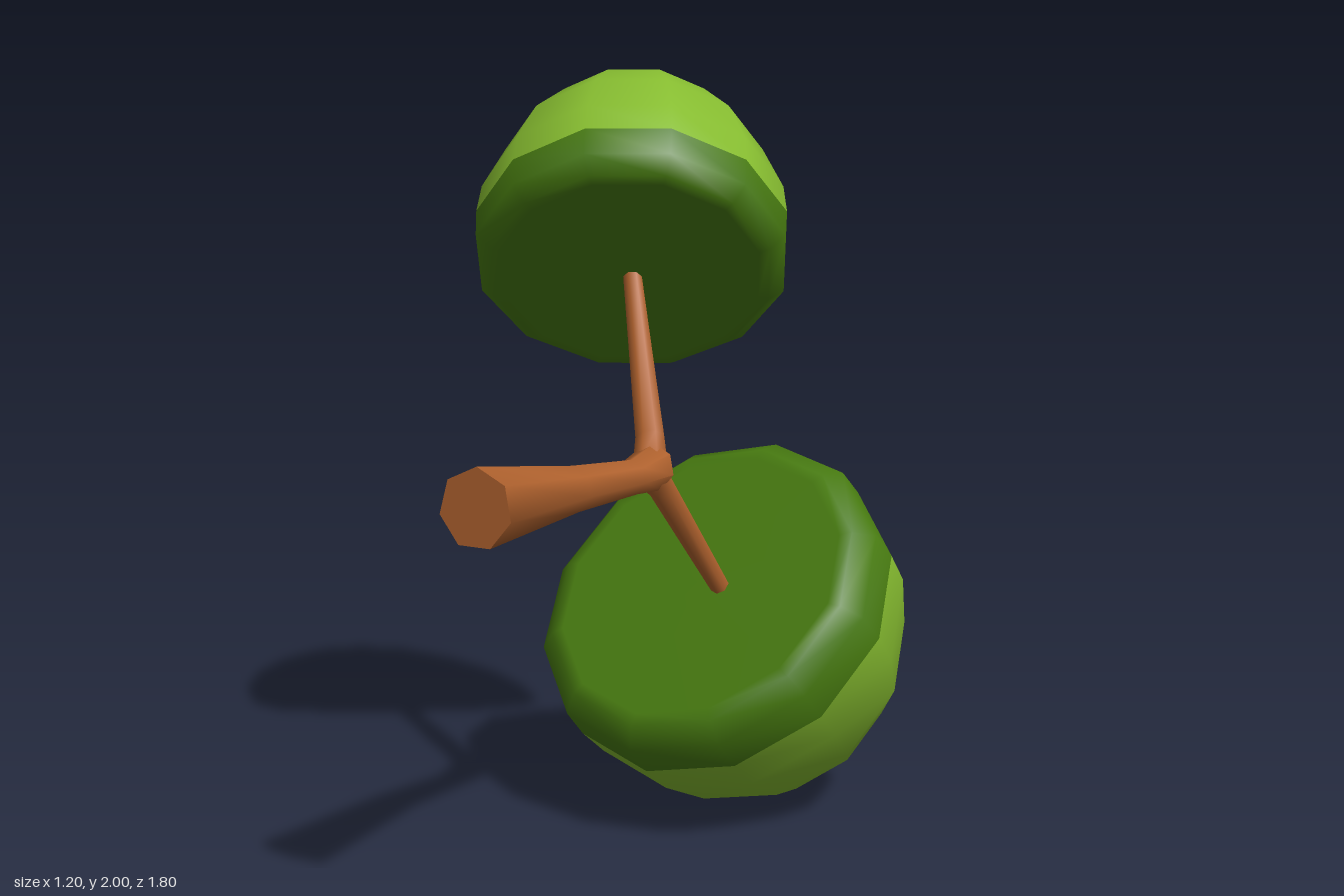
import * as THREE from 'three';
import { toCreasedNormals } from 'three/addons/utils/BufferGeometryUtils.js';

const mat = (name, color) => {
  const m = new THREE.MeshStandardMaterial({ color });
  m.name = name;
  return m;
};
const V = (x, y, z) => new THREE.Vector3(x, y, z);

// Seven-sided limb: a cylinder whose rings follow the given points and radii
function limb(name, material, points, radii) {
  const n = points.length - 1;
  const geo = new THREE.CylinderGeometry(1, 1, 1, 7, n);
  const dir = points[n].clone().sub(points[0]).normalize();
  const turn = new THREE.Quaternion().setFromUnitVectors(V(0, 1, 0), dir);
  const pos = geo.attributes.position;
  const v = V(0, 0, 0);
  for (let i = 0; i < pos.count; i++) {
    v.fromBufferAttribute(pos, i);
    const k = Math.round((v.y + 0.5) * n);
    v.setY(0).multiplyScalar(radii[k]).applyQuaternion(turn).add(points[k]);
    pos.setXYZ(i, v.x, v.y, v.z);
  }
  const mesh = new THREE.Mesh(toCreasedNormals(geo, 1.05), material);
  mesh.name = name;
  return mesh;
}

// Crown profiles as [radius, height along the crown axis]
const RIM = [[0, -0.26], [0.41, -0.26], [0.445, -0.255], [0.495, -0.21], [0.5, -0.11]];
const DOME = [[0.5, -0.11], [0.49, 0], [0.425, 0.18], [0.315, 0.34], [0.17, 0.46], [0, 0.51]];

// Twelve-sided leaf crown: pale dome over a dark rim and underside
function crown(name, center, axis, scale, phase, leaf, shade) {
  const group = new THREE.Group();
  group.name = name;
  for (const [part, profile, material] of [['Underside', RIM, shade], ['Dome', DOME, leaf]]) {
    const pts = profile.map(([r, y]) => new THREE.Vector2(r, y));
    const mesh = new THREE.Mesh(new THREE.LatheGeometry(pts, 12, phase), material);
    mesh.name = name + part;
    group.add(mesh);
  }
  const y = axis.clone().normalize();
  const z = V(0, 1, 0).addScaledVector(y, -y.y).normalize();
  const x = y.clone().cross(z);
  group.quaternion.setFromRotationMatrix(new THREE.Matrix4().makeBasis(x, y, z));
  group.position.copy(center);
  group.scale.setScalar(scale);
  return group;
}

export function createModel() {
  const bark = mat('bark brown', 0xb0622e);
  const leaf = mat('leaf green', 0x86bc30);
  const shade = mat('dark leaf green', 0x477a10);

  const tree = new THREE.Group();
  tree.name = 'tree';

  // Trunk, from its wide foot at the front to the fork
  tree.add(limb('trunk', bark,
    [V(0.055, 1.025, 0.9), V(0.035, 0.99, 0.41), V(0.068, 0.982, 0.15), V(0.07, 0.99, 0.03), V(0.075, 0.99, -0.005)],
    [0.095, 0.058, 0.045, 0.062, 0.035]));

  // Branches
  tree.add(limb('upperBranch', bark,
    [V(0.068, 1.0, 0.04), V(0.045, 1.06, -0.005), V(-0.145, 1.46, -0.285)], [0.045, 0.038, 0.025]));
  tree.add(limb('lowerBranch', bark,
    [V(0.07, 0.98, 0.045), V(0.085, 0.93, 0.0), V(0.143, 0.62, -0.25)], [0.045, 0.036, 0.026]));

  // Crowns
  tree.add(crown('upperCrown', V(-0.205, 1.605, -0.414), V(-0.30, 0.685, -0.665), 0.86, Math.PI / 12, leaf, shade));
  tree.add(crown('lowerCrown', V(0.107, 0.458, -0.435), V(0.136, -0.68, -0.72), 1, 0, leaf, shade));
  return tree;
}
